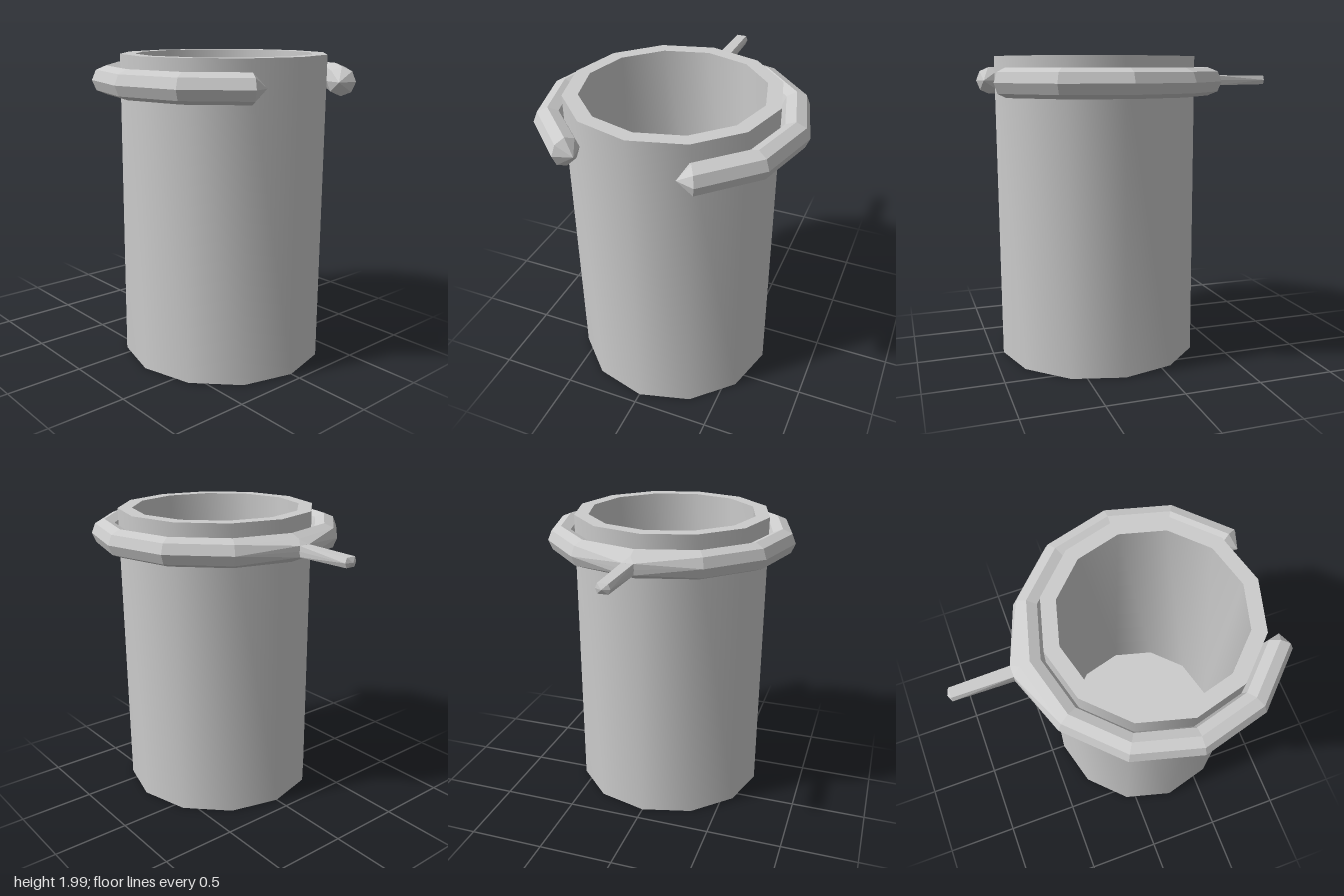
import * as THREE from 'three';
import { toCreasedNormals } from 'three/addons/utils/BufferGeometryUtils.js';
import { ConvexGeometry } from 'three/addons/geometries/ConvexGeometry.js';

const CENTER_Z = 0.265; // axis of the cup and ring
const RING_Y = 1.83, RING_R = 0.755, TUBE_R = 0.09;

export function createModel() {
  const model = new THREE.Group();
  const smooth = new THREE.MeshStandardMaterial({ color: 0xcccccc });
  const flat = new THREE.MeshStandardMaterial({ color: 0xcccccc, flatShading: true });
  const add = (name, geometry, material = flat) => {
    const mesh = new THREE.Mesh(geometry, material);
    mesh.name = name;
    model.add(mesh);
    return mesh;
  };

  // Hollow twelve-sided cup
  const profile = [[0, 0], [0.665, 0], [0.665, 1.99], [0.57, 1.99], [0.57, 0.1], [0, 0.1]]
    .map(([r, y]) => new THREE.Vector2(r, y));
  add('cup', toCreasedNormals(new THREE.LatheGeometry(profile, 12), 0.6), smooth).position.z = CENTER_Z;

  // Open ring with its gap at the front
  const ring = new THREE.TorusGeometry(RING_R, TUBE_R, 8, 10, Math.PI * 5 / 3);
  ring.rotateZ(Math.PI * 2 / 3).rotateX(Math.PI / 2);
  add('ring', ring).position.set(0, RING_Y, CENTER_Z);

  // Outer half of the ring's section, at an angle from the back
  const outerSection = (angle) => [-2, -1, 0, 1, 2].map((i) => {
    const t = i * Math.PI / 4, r = RING_R + TUBE_R * Math.cos(t);
    return new THREE.Vector3(
      r * Math.sin(angle), RING_Y + TUBE_R * Math.sin(t), CENTER_Z - r * Math.cos(angle));
  });
  // Six-sided section of the handle
  const handleSection = (w, mid, h, z) =>
    [[w, h], [mid, 0], [w, -h], [-w, -h], [-mid, 0], [-w, h]]
      .map(([x, y]) => new THREE.Vector3(x, RING_Y + y, z));

  for (const side of [-1, 1]) {
    const label = side > 0 ? 'left' : 'right';

    // Pointed end of the ring
    const tip = new THREE.ConeGeometry(TUBE_R, 0.083, 8, 1, true);
    tip.translate(0, 0.0415, 0).rotateZ(side * Math.PI / 2).rotateY(side * Math.PI / 6);
    add(label + 'RingTip', tip).position.set(
      side * RING_R * 0.5, RING_Y, CENTER_Z + RING_R * Math.cos(Math.PI / 6));

    // Web running from the ring into the handle
    const base = handleSection(0.038, 0.04, 0.035, -0.605).filter((p) => p.x * side > 0);
    const middle = [0.035, -0.035].map((y) => new THREE.Vector3(0, RING_Y + y, -0.605));
    add(label + 'HandleWeb', new ConvexGeometry(
      [...outerSection(0), ...outerSection(side * Math.PI / 6), ...base, ...middle]));
  }

  // Handle with a blunt point at the back
  add('handle', new ConvexGeometry([
    ...handleSection(0.038, 0.04, 0.035, -0.59),
    ...handleSection(0.033, 0.045, 0.03, -0.98),
    new THREE.Vector3(0, RING_Y, -1),
  ]));

  return model;
}
